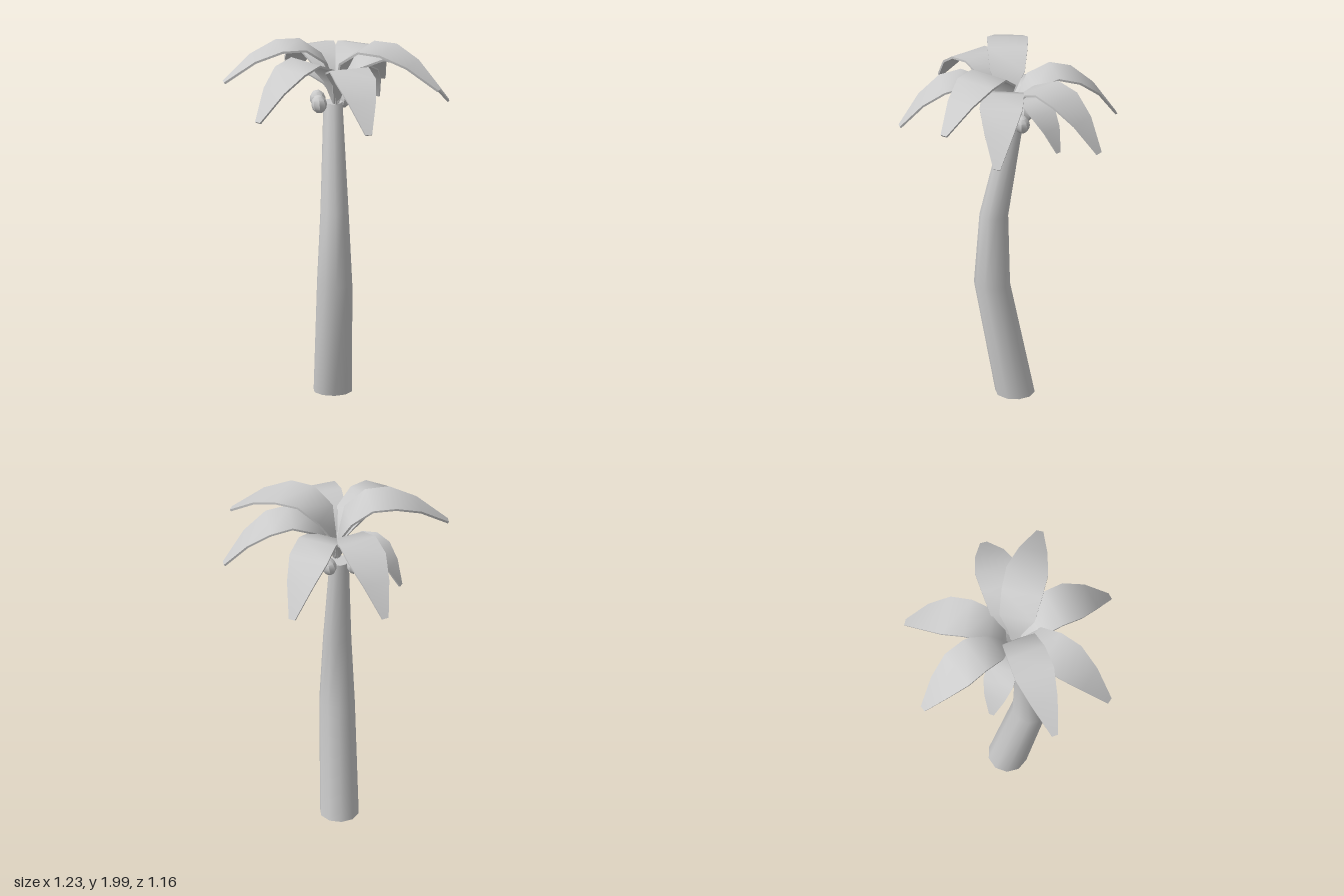
import * as THREE from 'three';
import { toCreasedNormals } from 'three/addons/utils/BufferGeometryUtils.js';

const material = new THREE.MeshStandardMaterial({ color: 0xcccccc });

function makeMesh(name, geometry, crease) {
  const mesh = new THREE.Mesh(toCreasedNormals(geometry, crease), material);
  mesh.name = name;
  return mesh;
}

// Moves every vertex of a geometry by a rule
function deform(geometry, rule) {
  const p = geometry.attributes.position;
  const v = new THREE.Vector3();
  for (let i = 0; i < p.count; i++) {
    rule(v.fromBufferAttribute(p, i));
    p.setXYZ(i, v.x, v.y, v.z);
  }
  return geometry;
}

// Bent, tapering trunk: height, centre z, radius per ring
function makeTrunk() {
  const rings = [
    [0, -0.04, 0.107],
    [0.65, 0.085, 0.098],
    [1.06, 0.075, 0.078],
    [1.64, -0.035, 0.053],
  ];
  const geometry = deform(new THREE.CylinderGeometry(1, 1, 3, 10, 3), (v) => {
    const [y, z, r] = rings[Math.round(v.y + 1.5)];
    v.set(v.x * r - 0.012, y, v.z * r + z);
  });
  return makeMesh('trunk', geometry, 0.8);
}

// Arched frond along +x: distance, height, half width per station
function makeFrond() {
  const stations = [
    [0, 0, 0.012],
    [0.06, 0.14, 0.035],
    [0.125, 0.235, 0.094],
    [0.25, 0.285, 0.108],
    [0.37, 0.255, 0.111],
    [0.49, 0.165, 0.076],
    [0.61, 0.01, 0.018],
  ];
  const last = stations.length - 1;
  const geometry = deform(new THREE.BoxGeometry(last, 1, 2, last, 1, 1), (v) => {
    const i = Math.round(v.x + last / 2);
    const [x, y, w] = stations[i];
    const a = stations[Math.max(i - 1, 0)];
    const b = stations[Math.min(i + 1, last)];
    const slope = Math.atan2(b[1] - a[1], b[0] - a[0]);
    const t = v.y * 0.012;
    v.set(x - Math.sin(slope) * t, y + Math.cos(slope) * t, v.z * w);
  });
  return makeMesh('frond', geometry, 0.8);
}

export function createModel() {
  const palm = new THREE.Group();
  palm.name = 'palmTree';
  palm.add(makeTrunk());

  // Crown of fronds: tip x, tip z, upward pitch in degrees, scale, width scale, root height
  const crown = new THREE.Group();
  crown.name = 'crown';
  crown.position.set(0, 1.63, 0);
  const fronds = [
    [-0.21, -0.57, -3, 0.99, 1, 0],
    [0.3, -0.54, -3, 0.99, 1, 0],
    [0.61, -0.005, 0, 1, 1.05, 0],
    [0.53, 0.285, 14, 1.04, 1.04, 0],
    [0.135, 0.57, 0, 0.96, 1.02, 0],
    [-0.45, 0.405, 3, 1, 1, 0],
    [-0.61, 0.06, 14, 1.04, 1, 0],
    [-0.325, -0.215, -14, 0.66, 0.76, 0.04],
    [0.24, -0.29, -14, 0.66, 0.76, 0.04],
  ];
  const base = makeFrond();
  for (const [x, z, pitch, scale, width, height] of fronds) {
    const frond = base.clone();
    frond.rotation.set(0, -Math.atan2(z, x), THREE.MathUtils.degToRad(pitch), 'YXZ');
    frond.scale.set(scale, scale, width);
    frond.position.y = height;
    crown.add(frond);
  }
  palm.add(crown);

  // Cluster of nuts under the crown
  for (const [x, z, tilt] of [[-0.09, -0.085, 0.2], [0.05, -0.085, -0.2], [-0.09, 0.005, 0.1]]) {
    const nut = makeMesh('nut', new THREE.SphereGeometry(0.043, 8, 6), 0.6);
    nut.scale.y = 1.22;
    nut.position.set(x, 1.64, z);
    nut.rotation.z = tilt;
    palm.add(nut);
  }
  return palm;
}
